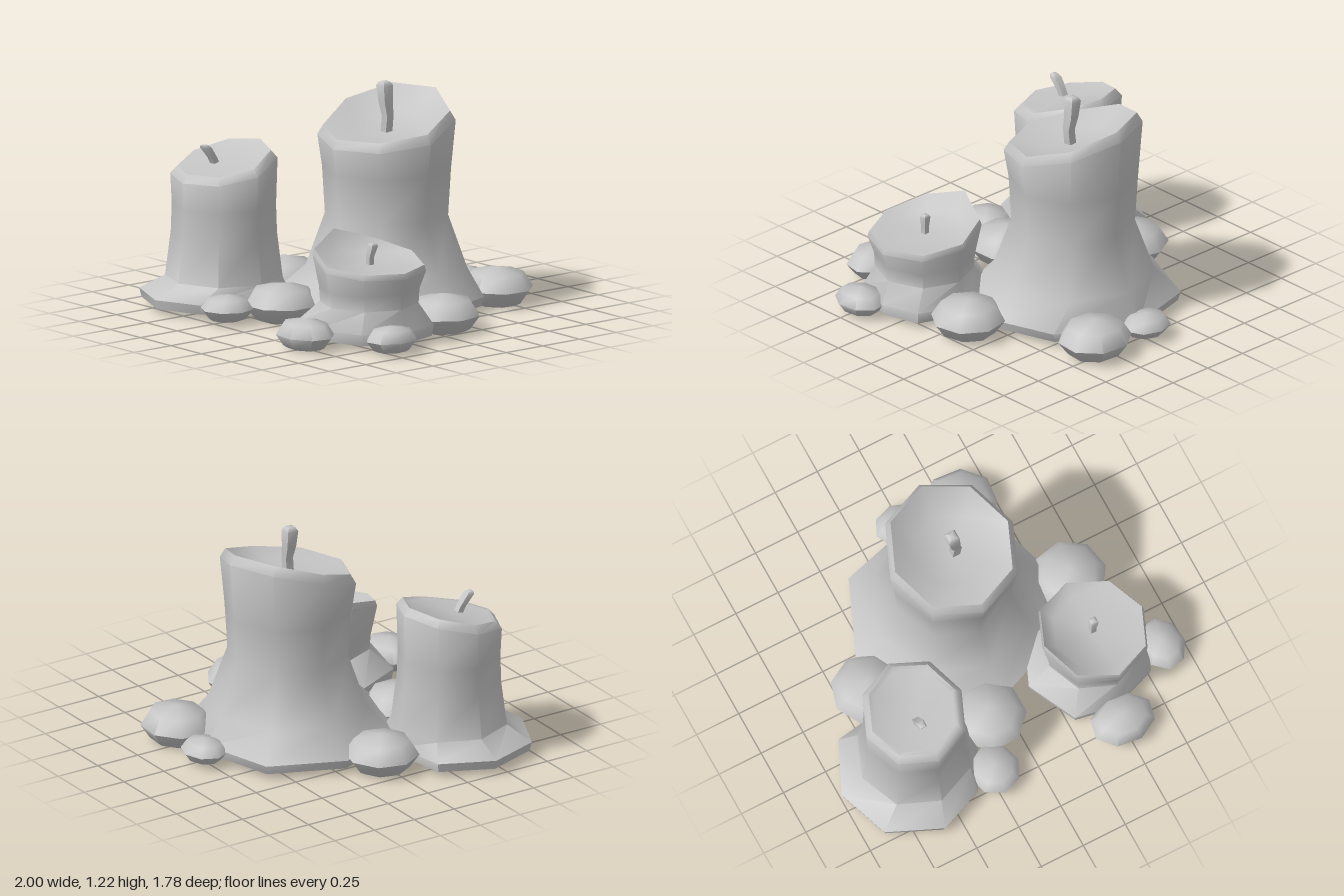
import * as THREE from 'three';
import { toCreasedNormals } from 'three/addons/utils/BufferGeometryUtils.js';

const SIDES = 8;
const wax = new THREE.MeshStandardMaterial({ color: 0xc4c4c4 });
wax.name = 'grey wax';

// Octagon ring starting at +z and turning towards +x; y is a number or one height per corner
function ring(x, z, rx, rz, y) {
  return Array.from({ length: SIDES }, (_, i) => {
    const a = (i / SIDES) * Math.PI * 2;
    return [x + Math.sin(a) * rx, Array.isArray(y) ? y[i] : y, z + Math.cos(a) * rz];
  });
}

// Closed skin through a stack of rings, from the underside to the centre of the top
function loft(rings, topCentre, crease = 0.9) {
  const n = rings[0].length;
  const pos = rings.flat(2);
  const mid = [0, 1, 2].map((k) => rings[0].reduce((s, p) => s + p[k], 0) / n);
  pos.push(...mid, ...topCentre);
  const bottom = rings.length * n, top = bottom + 1, last = (rings.length - 1) * n;
  const index = [];
  for (let i = 0; i < n; i++) {
    const j = (i + 1) % n;
    index.push(bottom, j, i, last + i, last + j, top);
    for (let r = 0; r < rings.length - 1; r++) {
      const a = r * n, b = a + n;
      index.push(a + i, a + j, b + j, a + i, b + j, b + i);
    }
  }
  const geo = new THREE.BufferGeometry();
  geo.setAttribute('position', new THREE.Float32BufferAttribute(pos, 3));
  geo.setIndex(index);
  return toCreasedNormals(geo, crease);
}

// Candle: melted foot outline, round shaft rings, slanted rim and sunken top
function candle({ foot, footY, shaft, rim, bowl, centre }) {
  const [x, z] = centre;
  const rings = [
    foot.map(([fx, fz]) => [x + (fx - x) * 0.97, 0.03, z + (fz - z) * 0.97]),
    foot.map(([fx, fz]) => [fx, footY, fz]),
    ...shaft.map(([r, y]) => ring(x, z, r, r, y)),
    ring(x, z, rim.r, rim.r, rim.y.map((y) => y - rim.drop)),
    ring(x, z, rim.r - rim.bevel, rim.r - rim.bevel, rim.y),
    ring(x, z, bowl.r, bowl.r, bowl.y),
  ];
  return loft(rings, [x, bowl.centreY, z]);
}

// Bent square wick: points are [x, y, z, half width]
function wick(points) {
  const rings = points.map(([x, y, z, w]) =>
    [[-1, 1], [1, 1], [1, -1], [-1, -1]].map(([sx, sz]) => [x + sx * w, y, z + sz * w]));
  const [x, y, z] = points[points.length - 1];
  return loft(rings, [x, y + 0.005, z], 1.0);
}

export function createModel() {
  const group = new THREE.Group();
  const add = (name, geo) => {
    const mesh = new THREE.Mesh(geo, wax);
    mesh.name = name;
    group.add(mesh);
    return mesh;
  };

  // Tall candle at the back
  add('tallCandle', candle({
    centre: [0, -0.22],
    foot: [[0, 0.35], [0.38, 0.2], [0.54, -0.2], [0.43, -0.53], [0, -0.73], [-0.4, -0.62], [-0.57, -0.22], [-0.42, 0.18]],
    footY: 0.08,
    shaft: [[0.425, 0.22], [0.325, 0.5], [0.34, 0.75]],
    rim: { r: 0.365, bevel: 0.03, drop: 0.05, y: [0.945, 0.95, 0.98, 1.06, 1.13, 1.13, 1.06, 0.97] },
    bowl: { r: 0.2, y: [0.94, 0.94, 0.95, 0.97, 0.99, 0.99, 0.97, 0.95], centreY: 0.945 },
  }));
  add('tallWick', wick([[0.01, 0.93, -0.21, 0.022], [0.022, 1.03, -0.21, 0.022],
    [0.005, 1.1, -0.21, 0.027], [-0.003, 1.19, -0.21, 0.032], [-0.003, 1.21, -0.21, 0.022]]));

  // Middle candle on the right
  add('middleCandle', candle({
    centre: [-0.565, 0.42],
    foot: [[-0.61, 0.85], [-0.36, 0.75], [-0.2, 0.45], [-0.28, 0.2], [-0.57, 0.1], [-0.87, 0.15], [-1, 0.43], [-0.9, 0.72]],
    footY: 0.08,
    shaft: [[0.31, 0.16], [0.28, 0.4], [0.275, 0.55]],
    rim: { r: 0.283, bevel: 0.035, drop: 0.04, y: [0.735, 0.74, 0.775, 0.84, 0.86, 0.84, 0.79, 0.745] },
    bowl: { r: 0.225, y: [0.735, 0.74, 0.775, 0.82, 0.84, 0.82, 0.785, 0.745], centreY: 0.785 },
  }));
  add('middleWick', wick([[-0.58, 0.75, 0.46, 0.018], [-0.58, 0.8, 0.485, 0.018],
    [-0.58, 0.86, 0.53, 0.022], [-0.58, 0.875, 0.54, 0.015]]));

  // Short candle on the left, with one high lip
  add('shortCandle', candle({
    centre: [0.54, 0.345],
    foot: [[0.5, 0.67], [0.76, 0.58], [0.86, 0.33], [0.8, 0.12], [0.52, 0.02], [0.27, 0.08], [0.15, 0.36], [0.28, 0.63]],
    footY: 0.09,
    shaft: [[0.26, 0.2], [0.265, 0.28]],
    rim: { r: 0.3, bevel: 0.01, drop: 0.03, y: [0.425, 0.405, 0.4, 0.405, 0.435, 0.48, 0.545, 0.48] },
    bowl: { r: 0.22, y: [0.405, 0.4, 0.395, 0.4, 0.405, 0.42, 0.44, 0.42], centreY: 0.4 },
  }));
  add('shortWick', wick([[0.54, 0.38, 0.34, 0.015], [0.54, 0.44, 0.34, 0.015],
    [0.55, 0.5, 0.33, 0.02], [0.55, 0.512, 0.33, 0.015]]));

  // Flattened pebbles of wax: x, z, half width, half depth, bottom, top
  const pebbles = [
    [-0.02, -0.76, 0.135, 0.115, 0.02, 0.14], [0.31, -0.715, 0.2, 0.185, 0, 0.2],
    [0.63, -0.085, 0.195, 0.195, 0, 0.2], [-0.6, -0.025, 0.195, 0.195, 0, 0.2],
    [-0.11, 0.405, 0.195, 0.195, 0, 0.2], [-0.225, 0.68, 0.135, 0.14, 0.02, 0.155],
    [0.5, 0.75, 0.175, 0.14, 0.005, 0.165], [0.88, 0.475, 0.12, 0.145, 0.015, 0.15],
  ];
  pebbles.forEach(([x, z, rx, rz, y0, y1], i) => {
    const h = y1 - y0;
    const at = (r, t, turn) => ring(0, 0, r, r, 0).map(([px, , pz]) => {
      const c = Math.cos(turn), s = Math.sin(turn);
      return [x + (px * c + pz * s) * rx, y0 + t * h, z + (pz * c - px * s) * rz];
    });
    const turn = i * 0.3;
    add('pebble' + (i + 1), loft([at(0.6, 0, turn), at(0.75, 0.08, turn), at(1.02, 0.44, turn), at(0.76, 0.84, turn)],
      [x, y1, z], 1.1));
  });

  return group;
}
